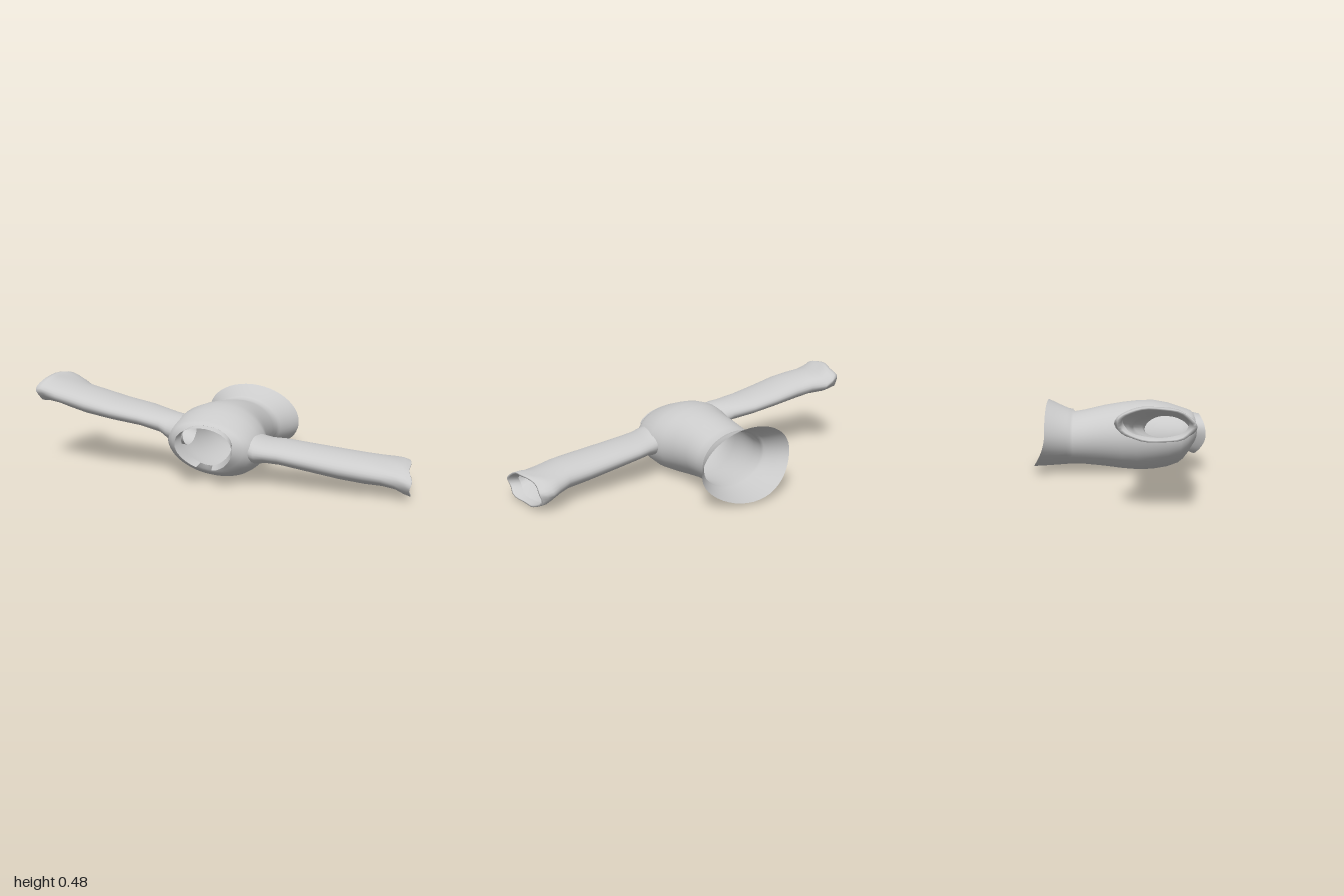
import * as THREE from 'three';

const material = new THREE.MeshStandardMaterial({ color: 0xcccccc, side: THREE.DoubleSide });

// Skin a surface over equal-length rows of points; closed rows share their seam.
function loft(name, rows, closed = true) {
  const n = rows[0].length, index = [];
  for (let r = 0; r < rows.length - 1; r++) {
    for (let i = 0; i < (closed ? n : n - 1); i++) {
      const a = r * n + i, b = r * n + (i + 1) % n;
      index.push(a, b, a + n, b, b + n, a + n);
    }
  }
  const geometry = new THREE.BufferGeometry().setFromPoints(rows.flat());
  geometry.setIndex(index);
  geometry.computeVertexNormals();
  const mesh = new THREE.Mesh(geometry, material);
  mesh.name = name;
  return mesh;
}

const angles = (n, from = 0, to = Math.PI * 2, open = false) =>
  Array.from({ length: n }, (_, i) => from + (to - from) * i / (open ? n - 1 : n));

// Rolled oval across z; its top and underside can be set back, taper narrows the underside.
function torsoRing([z, left, right, low, high, taper = 0, topBack = 0, lowBack = 0], list) {
  const cx = (left + right) / 2, rx = (right - left) / 2;
  const cy = (low + high) / 2, ry = (high - low) / 2;
  const roll = -0.13;
  return list.map(a => {
    const s = Math.sin(a);
    const u = rx * Math.cos(a) * (1 + taper * s), v = ry * s;
    return new THREE.Vector3(
      cx + u * Math.cos(roll) - v * Math.sin(roll),
      cy + u * Math.sin(roll) + v * Math.cos(roll),
      z - (s > 0 ? topBack : lowBack) * s * s);
  });
}

// z, left x, right x, low y, high y, taper, top set-back, underside set-back
const neck = [0.41, -0.13, 0.13, 0.1, 0.312, 0.3, 0.015, 0.055];
const torso = [
  [-0.375, -0.275, 0.27, 0.018, 0.38, 0, 0.003, 0.08],
  [-0.335, -0.248, 0.238, 0.023, 0.36, 0, 0, 0.04],
  [-0.27, -0.21, 0.19, 0.032, 0.332],
  [-0.25, -0.205, 0.185, 0.032, 0.33],
  [-0.238, -0.197, 0.176, 0.034, 0.316],
  [-0.18, -0.195, 0.175, 0.032, 0.326],
  [-0.08, -0.2, 0.18, 0.023, 0.35],
  [0.02, -0.21, 0.195, 0.01, 0.367],
  [0.1, -0.235, 0.222, 0.004, 0.376],
  [0.18, -0.252, 0.25, 0.006, 0.378],
  [0.26, -0.252, 0.25, 0.02, 0.364],
  [0.325, -0.24, 0.24, 0.04, 0.343, 0, 0, 0.01],
  [0.362, -0.22, 0.22, 0.06, 0.33, 0.05, 0, 0.022],
  [0.388, -0.188, 0.188, 0.076, 0.322, 0.15, 0.003, 0.038],
  neck,
];

// x, low y, high y, back z, front z
const leftSleeve = [
  [0.15, 0.12, 0.265, 0.14, 0.35],
  [0.2, 0.11, 0.262, 0.125, 0.372],
  [0.235, 0.11, 0.248, 0.118, 0.378],
  [0.28, 0.118, 0.235, 0.11, 0.37],
  [0.35, 0.112, 0.23, 0.092, 0.362],
  [0.5, 0.088, 0.215, 0.082, 0.357],
  [0.65, 0.065, 0.2, 0.07, 0.355],
  [0.77, 0.052, 0.188, 0.06, 0.348],
  [0.85, 0.045, 0.175, 0.022, 0.335],
  [0.91, 0.03, 0.168, 0.0, 0.33],
  [0.95, 0.012, 0.168, 0.002, 0.336],
  [0.98, 0.006, 0.163, 0.008, 0.343],
];
const rightSleeve = [
  [0.15, 0.17, 0.31, 0.15, 0.34],
  [0.2, 0.178, 0.328, 0.14, 0.365],
  [0.235, 0.195, 0.333, 0.135, 0.368],
  [0.28, 0.225, 0.338, 0.122, 0.357],
  [0.4, 0.25, 0.358, 0.082, 0.353],
  [0.55, 0.27, 0.385, 0.075, 0.366],
  [0.7, 0.292, 0.42, 0.07, 0.369],
  [0.8, 0.312, 0.438, 0.056, 0.356],
  [0.88, 0.328, 0.452, 0.004, 0.343],
  [0.93, 0.334, 0.475, 0, 0.34],
  [0.955, 0.337, 0.488, 0.004, 0.34],
  [0.98, 0.337, 0.485, 0.01, 0.343],
];

// Flattened tube along x, with wrinkles and a slanted end growing towards the cuff.
function sleeveRing([x, low, high, back, front], side, list, inset = 1) {
  const cuff = THREE.MathUtils.smoothstep(x, 0.78, 0.98);
  return list.map(a => {
    const wrinkle = inset * (1 + 0.02 * cuff * Math.sin(7 * a + 40 * x));
    const c = Math.cos(a), s = Math.sin(a);
    return new THREE.Vector3(
      side * (x + cuff * (0.025 * c - 0.01 + 0.006 * Math.sin(5 * a))),
      (low + high) / 2 + (high - low) / 2 * s * wrinkle,
      (back + front) / 2 + (front - back) / 2 * c * wrinkle);
  });
}

function sleeve(name, table, side) {
  const list = angles(32);
  const rows = table.map(row => sleeveRing(row, side, list));
  // Turned-in cuff hem
  const end = table[table.length - 1];
  rows.push(sleeveRing(end, side, list, 0.9));
  rows.push(sleeveRing([0.93, ...end.slice(1)], side, list, 0.84));
  return loft(name, rows);
}

export function createModel() {
  const group = new THREE.Group();
  group.name = 'jacket';

  const around = angles(48);
  group.add(loft('torso', torso.map(row => torsoRing(row, around))));
  group.add(sleeve('leftSleeve', leftSleeve, 1));
  group.add(sleeve('rightSleeve', rightSleeve, -1));

  // Standing collar, split at the underside of the neck
  const split = angles(25, -Math.PI / 2 + 0.35, Math.PI * 1.5 - 0.35, true);
  group.add(loft('collar', [
    torsoRing(neck, split),
    torsoRing([0.455, -0.148, 0.148, 0.085, 0.305, 0.2, 0.028, 0.06], split),
  ], false));
  return group;
}
